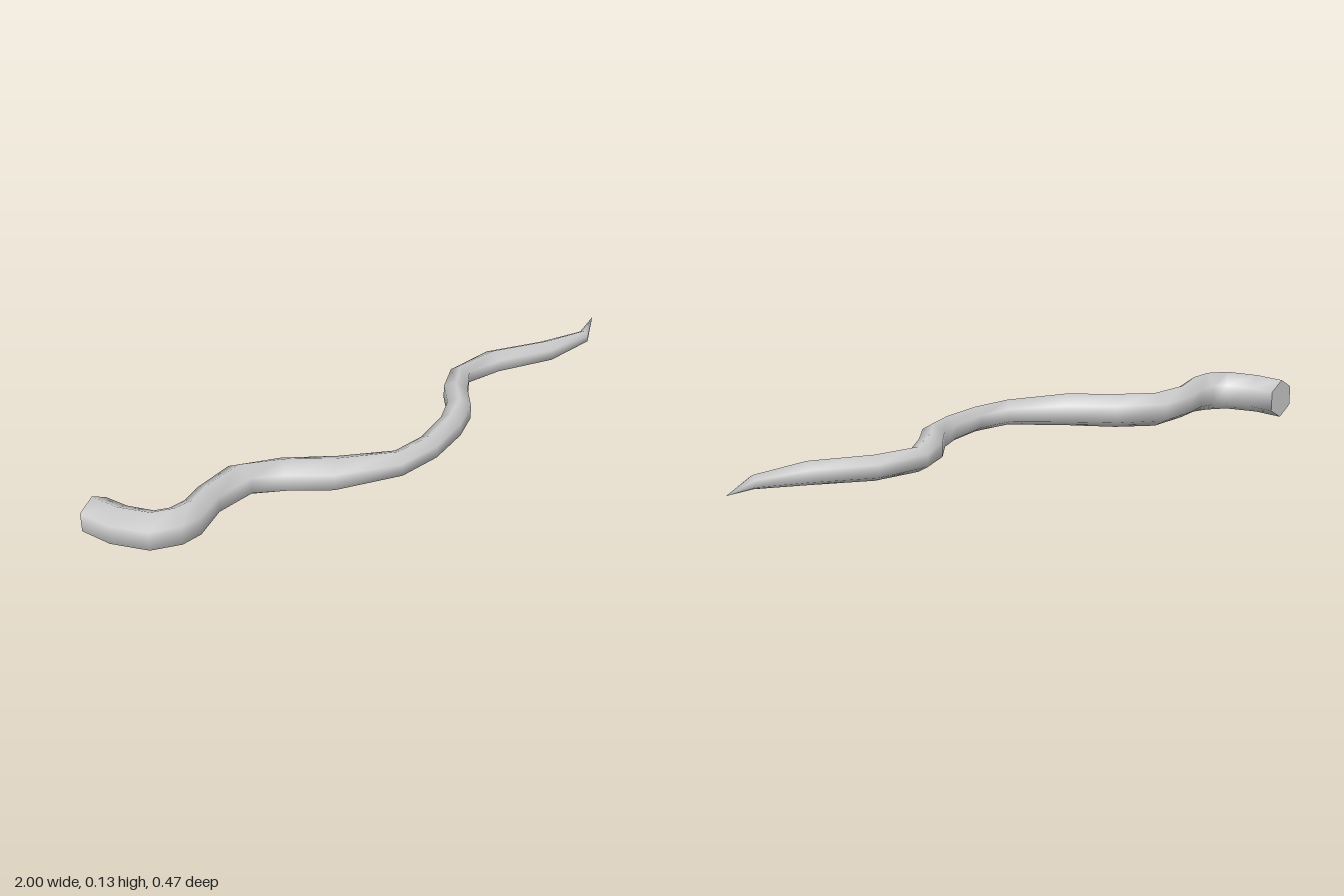
import * as THREE from 'three';

// Stations along the body: front edge x, z; back edge x, z; half height
const STATIONS = [
  [-1.0, 0.01, -0.905, -0.03, 0.065],
  [-0.95, 0.105, -0.865, 0.04, 0.065],
  [-0.86, 0.19, -0.805, 0.1, 0.066],
  [-0.765, 0.21, -0.76, 0.11, 0.066],
  [-0.7, 0.195, -0.705, 0.095, 0.062],
  [-0.61, 0.125, -0.645, 0.05, 0.055],
  [-0.485, 0.087, -0.52, -0.003, 0.057],
  [-0.39, 0.125, -0.36, 0.035, 0.057],
  [-0.26, 0.195, -0.2, 0.11, 0.055],
  [-0.045, 0.237, -0.03, 0.162, 0.043],
  [0.095, 0.205, 0.08, 0.135, 0.042],
  [0.225, 0.135, 0.19, 0.07, 0.045],
  [0.305, 0.065, 0.25, 0.01, 0.049],
  [0.345, -0.02, 0.29, -0.08, 0.047],
  [0.41, -0.115, 0.365, -0.16, 0.04],
  [0.535, -0.125, 0.53, -0.197, 0.041],
  [0.73, -0.098, 0.73, -0.163, 0.038],
  [0.9, -0.128, 0.893, -0.165, 0.022],
];
const MID_Y = 0.068;
const TIP = [0.995, MID_Y + 0.002, -0.237];

// Six-sided section with a point at top and bottom
function section([fx, fz, bx, bz, r]) {
  const cx = (fx + bx) / 2, cz = (fz + bz) / 2;
  return [
    [cx, MID_Y + r, cz],
    [fx, MID_Y + r / 2, fz],
    [fx, MID_Y - r / 2, fz],
    [cx, MID_Y - r, cz],
    [bx, MID_Y - r / 2, bz],
    [bx, MID_Y + r / 2, bz],
  ];
}

function meshFrom(name, points, index, material) {
  const geometry = new THREE.BufferGeometry();
  geometry.setAttribute('position', new THREE.Float32BufferAttribute(points.flat(), 3));
  geometry.setIndex(index);
  geometry.computeVertexNormals();
  const mesh = new THREE.Mesh(geometry, material);
  mesh.name = name;
  return mesh;
}

export function createModel() {
  const group = new THREE.Group();
  group.name = 'windingTail';
  const material = new THREE.MeshStandardMaterial({ color: 0xcccccc, side: THREE.DoubleSide });

  // Winding body, closing to a point at the tip
  const rings = STATIONS.map(section);
  const points = [...rings.flat(), TIP];
  const index = [];
  const last = rings.length - 1;
  for (let i = 0; i <= last; i++) {
    for (let j = 0; j < 6; j++) {
      const a = i * 6 + j, b = i * 6 + (j + 1) % 6;
      if (i === last) index.push(a, b, points.length - 1);
      else index.push(a, b, a + 6, b, b + 6, a + 6);
    }
  }
  group.add(meshFrom('body', points, index, material));

  // Flat cap on the thick end
  const cap = [];
  for (let j = 1; j < 5; j++) cap.push(0, j + 1, j);
  group.add(meshFrom('endCap', rings[0], cap, material));

  return group;
}
